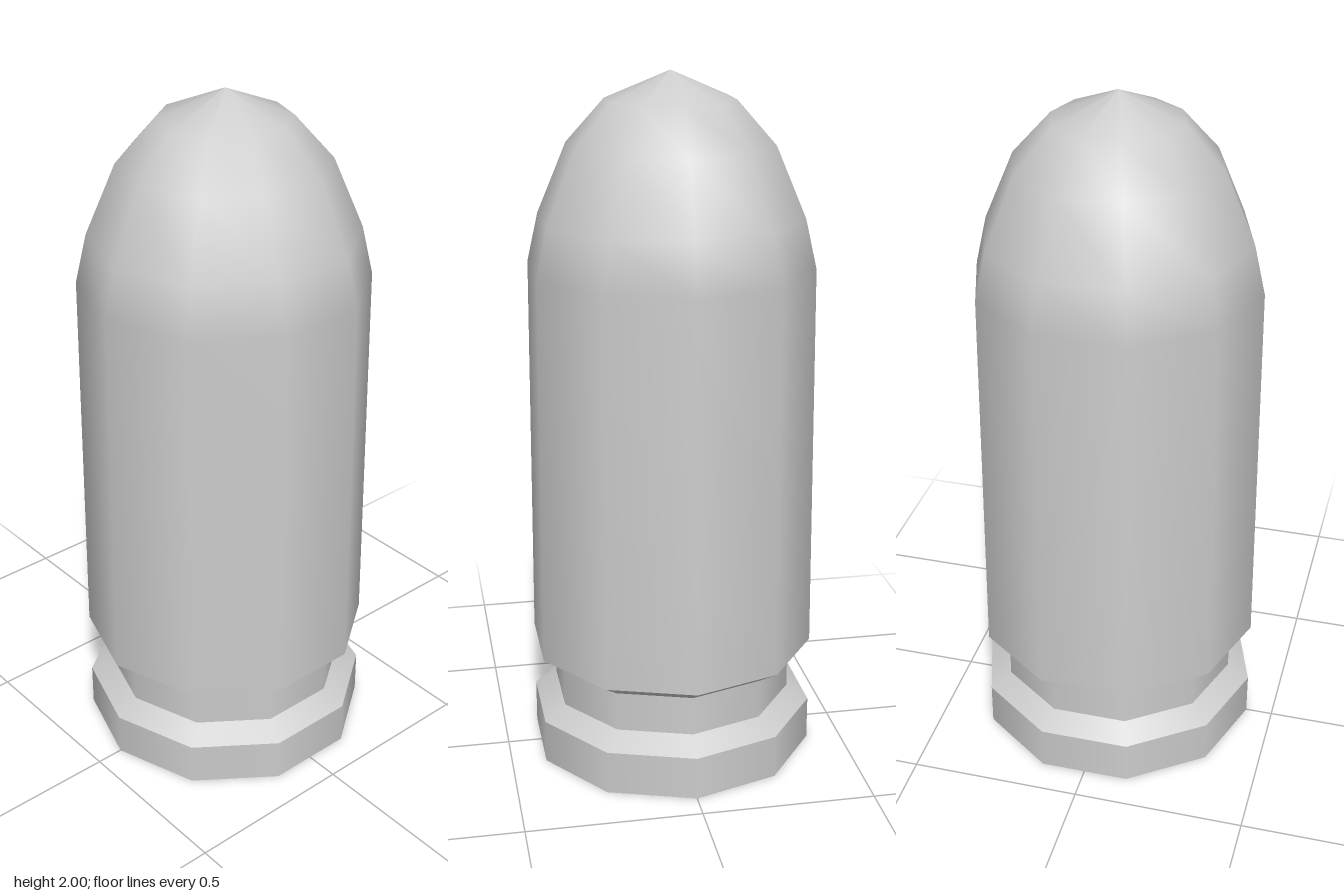
import * as THREE from 'three';

const SIDES = 10;

export function createModel() {
  const group = new THREE.Group();
  group.name = 'cartridge';
  const material = new THREE.MeshStandardMaterial({ color: 0xcccccc });

  // Each section is a separate ten-sided lathe, so the rings between them stay sharp.
  // Profiles run upward as [radius, height]; corners lie on the z axis.
  const section = (name, profile) => {
    const points = profile.map(([r, y]) => new THREE.Vector2(r, y));
    const mesh = new THREE.Mesh(new THREE.LatheGeometry(points, SIDES), material);
    mesh.name = name;
    group.add(mesh);
  };

  // Base rim and extractor groove
  section('baseDisc', [[0, 0], [0.42, 0]]);
  section('rim', [[0.42, 0], [0.42, 0.128]]);
  section('rimBevel', [[0.42, 0.128], [0.355, 0.17]]);
  section('groove', [[0.355, 0.17], [0.355, 0.286]]);
  section('grooveBevel', [[0.355, 0.286], [0.42, 0.328]]);

  // Slightly tapered casing flowing into the rounded nose
  section('casingAndNose', [
    [0.42, 0.328], [0.41, 1.46], [0.378, 1.6], [0.293, 1.8], [0.184, 1.922], [0, 2],
  ]);

  return group;
}
